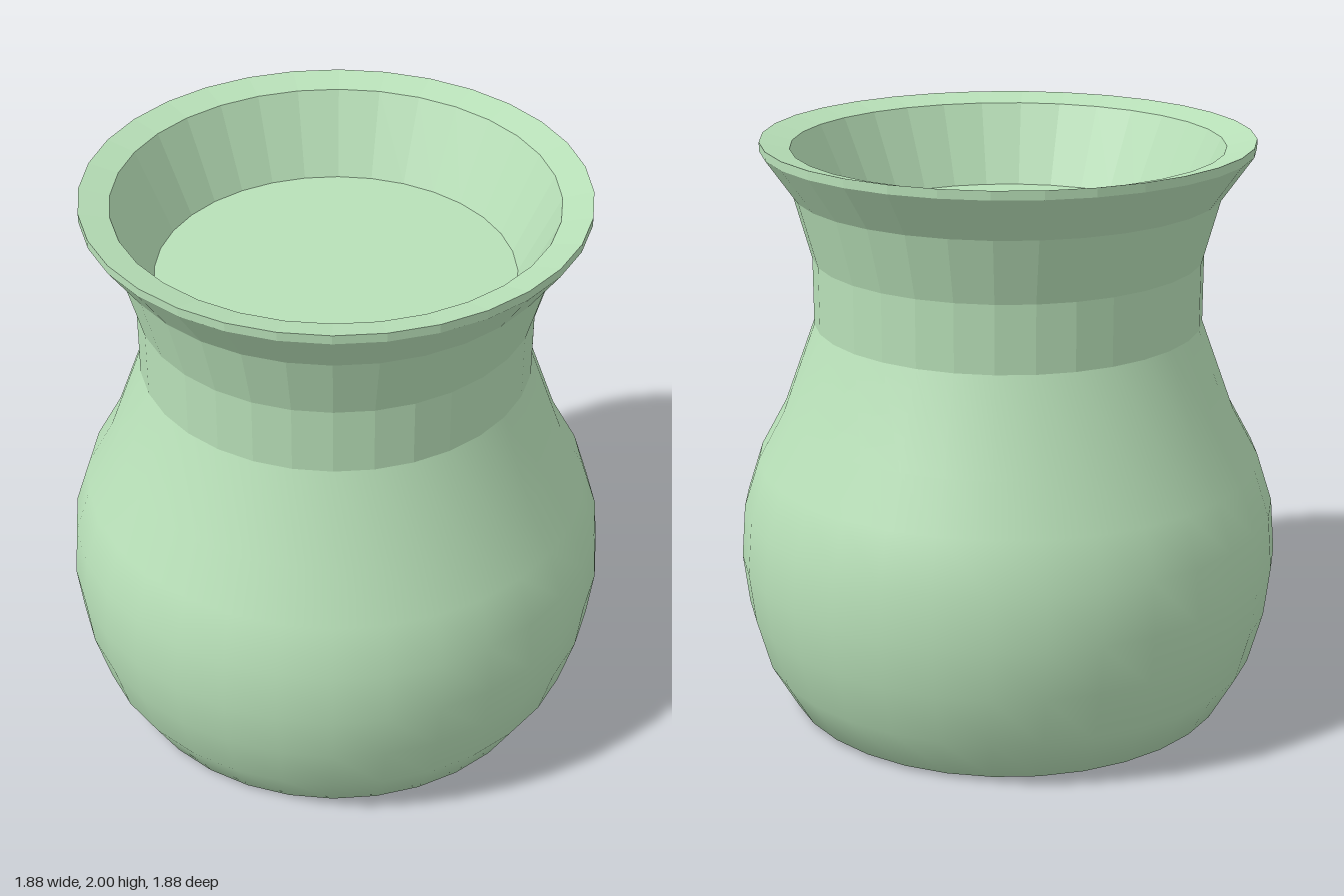
import * as THREE from 'three';

const SIDES = 32;
const GREEN = 0xb8e0b8;

// Revolve a list of [radius, height] pairs; faces point to the left of the path
function turned(name, profile, flatShading) {
  const points = profile.map(([r, y]) => new THREE.Vector2(r, y));
  const material = new THREE.MeshStandardMaterial({ color: GREEN, flatShading });
  const mesh = new THREE.Mesh(new THREE.LatheGeometry(points, SIDES), material);
  mesh.name = name;
  return mesh;
}

export function createModel() {
  const vase = new THREE.Group();
  vase.name = 'vase';

  // Smooth round belly, closed underneath
  vase.add(turned('belly', [
    [0, 0], [0.6, 0], [0.78, 0.015], [0.87, 0.175], [0.92, 0.36], [0.94, 0.535],
    [0.925, 0.72], [0.87, 0.89], [0.78, 1.055], [0.665, 1.37],
  ], false));

  // Faceted neck flaring out to a thin upright lip
  vase.add(turned('neck', [
    [0.665, 1.37], [0.665, 1.6], [0.725, 1.82], [0.83, 1.97], [0.83, 2],
  ], true));

  // Rim sloping gently inward
  vase.add(turned('rim', [[0.83, 2], [0.73, 1.975]], true));

  // Funnel-shaped inner wall
  vase.add(turned('innerWall', [[0.73, 1.975], [0.6, 1.7]], true));

  // Flat floor inside the mouth
  vase.add(turned('innerFloor', [[0.6, 1.7], [0, 1.7]], true));

  return vase;
}
